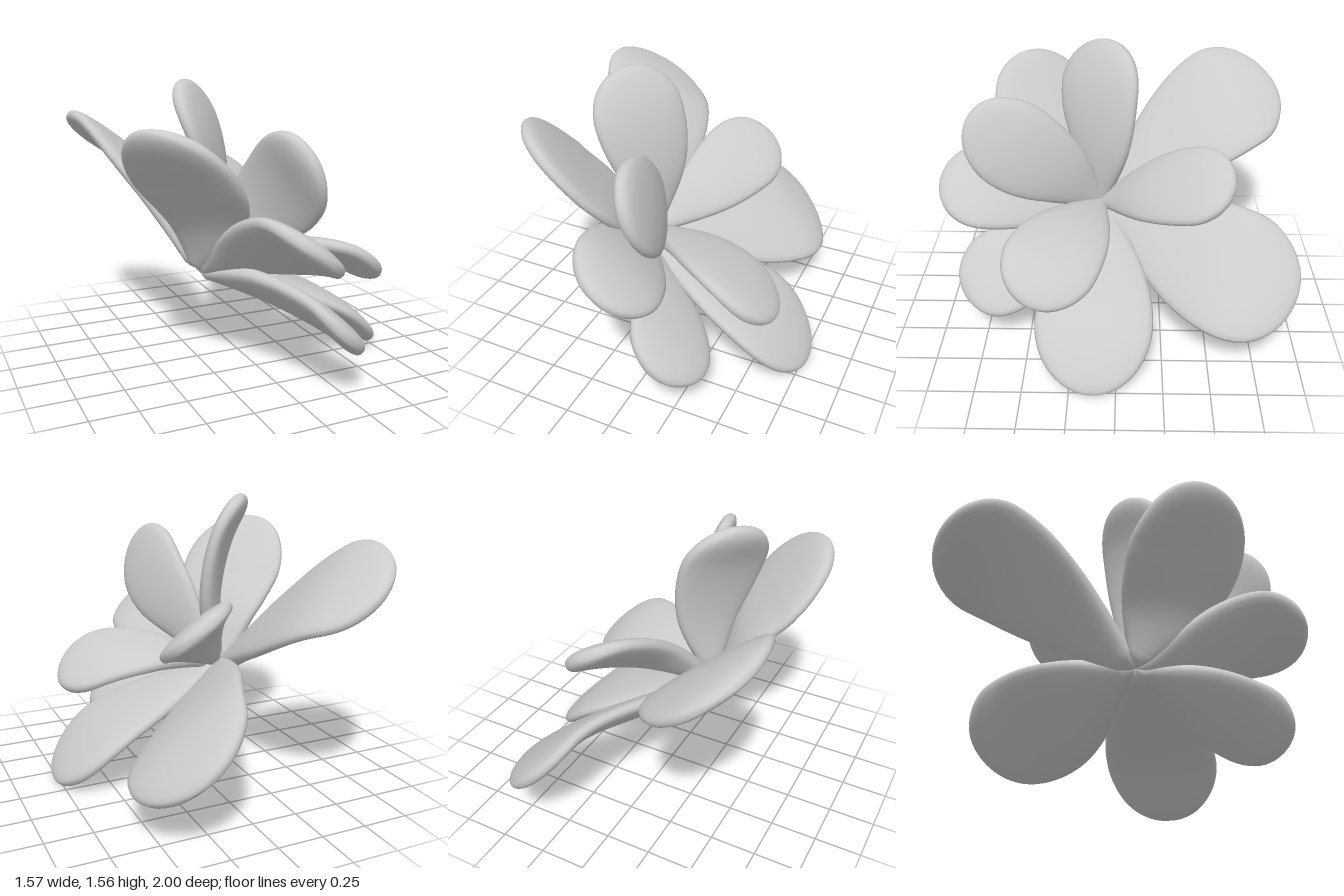
import * as THREE from 'three';

const V = (a) => new THREE.Vector3(...a);
const AXIS = new THREE.Vector3(1, 1, 0).normalize(); // direction the flower faces

// Each petal: tip, centre of its widest section, full width vector there
const OUTER = [
  { tip: [-0.67, 1.23, -0.89], mid: [-0.505, 1.14, -0.62], width: [0.53, -0.4, -0.25] },
  { tip: [0.41, 0.36, -0.97], mid: [0.32, 0.475, -0.66], width: [0.52, -0.48, 0.16] },
  { tip: [0.77, 0.015, 0.12], mid: [0.49, 0.28, 0.12], width: [0, 0, -0.64] },
  { tip: [0.26, 0.29, 0.865], mid: [0.19, 0.38, 0.66], width: [0.35, -0.32, -0.15] },
  { tip: [-0.03, 0.82, 1.0], mid: [-0.04, 0.81, 0.74], width: [0.41, -0.31, -0.01] },
  { tip: [-0.69, 1.37, 0.52], mid: [-0.46, 1.08, 0.4], width: [0.16, 0.24, 0.58] },
];
const INNER = [
  { tip: [-0.36, 1.56, 0.06], mid: [-0.25, 1.32, 0.105], width: [0.28, 0.08, -0.42] },
  { tip: [0.24, 0.98, -0.62], mid: [0.15, 0.935, -0.41], width: [0.35, -0.28, 0.08] },
  { tip: [0.64, 0.5, 0.45], mid: [0.42, 0.63, 0.34], width: [0.05, -0.14, -0.49] },
  { tip: [-0.01, 1.29, 0.77], mid: [0.01, 1.08, 0.545], width: [0.17, -0.34, 0.32] },
];

// Thick, flattened oval sections swept along a curved midrib, rounded at the tip
function petalGeometry(base, { tip, mid, width }, bulge) {
  const b = V(base), m = V(mid), t = V(tip), w = V(width);
  const low = b.clone().lerp(m, 0.5).addScaledVector(AXIS, bulge);
  const rib = new THREE.CatmullRomCurve3([b, low, m, t]);
  const lower = b.distanceTo(low) + low.distanceTo(m);
  const widest = lower / (lower + m.distanceTo(t));
  const half = w.length() / 2;
  const rings = 40, sides = 28;
  const pos = [], index = [];

  for (let i = 0; i <= rings; i++) {
    const s = (1 - Math.cos((Math.PI * i) / rings)) / 2;
    const c = rib.getPointAt(s), T = rib.getTangentAt(s);
    const W = w.clone().addScaledVector(T, -w.dot(T)).normalize();
    const N = T.clone().cross(W);

    const grow = Math.min(s / widest, 1);
    const end = Math.min(1, Math.max(0, (s - widest) / (1 - widest)));
    const root = Math.sqrt(Math.min(1, s / 0.05));
    const round = Math.sqrt(1 - end * end);
    const a = half * (0.13 + 0.87 * Math.pow(Math.sin((grow * Math.PI) / 2), 1.15)) * root * round;
    const h = 0.054 * root * Math.sqrt(1 - Math.pow(end, 6));

    for (let j = 0; j < sides; j++) {
      const ang = (j / sides) * Math.PI * 2, sn = Math.sin(ang);
      const p = c.clone()
        .addScaledVector(W, a * Math.cos(ang))
        .addScaledVector(N, h * Math.sign(sn) * Math.pow(Math.abs(sn), 0.7));
      pos.push(p.x, p.y, p.z);
      if (i < rings) {
        const k = (j + 1) % sides, r = i * sides, q = r + sides;
        index.push(r + j, r + k, q + j, r + k, q + k, q + j);
      }
    }
  }
  const g = new THREE.BufferGeometry();
  g.setAttribute('position', new THREE.Float32BufferAttribute(pos, 3));
  g.setIndex(index);
  g.computeVertexNormals();
  return g;
}

export function createModel() {
  const model = new THREE.Group();
  model.name = 'flower';
  const flower = new THREE.Group();
  flower.name = 'petals';
  model.add(flower);
  const material = new THREE.MeshStandardMaterial({ color: 0xcccccc });

  // Six wide outer petals and four smaller, steeper inner ones
  const whorl = (name, petals, base, bulge) => {
    const group = new THREE.Group();
    group.name = name + 'Petals';
    petals.forEach((p, i) => {
      const mesh = new THREE.Mesh(petalGeometry(base, p, bulge), material);
      mesh.name = name + 'Petal' + (i + 1);
      group.add(mesh);
    });
    flower.add(group);
  };
  whorl('outer', OUTER, [-0.27, 0.565, 0.1], 0.035);
  whorl('inner', INNER, [-0.2, 0.61, 0.1], 0.065);

  // Centre on the ground
  const box = new THREE.Box3().setFromObject(flower, true);
  const c = box.getCenter(new THREE.Vector3());
  flower.position.set(-c.x, -box.min.y, -c.z);
  return model;
}
